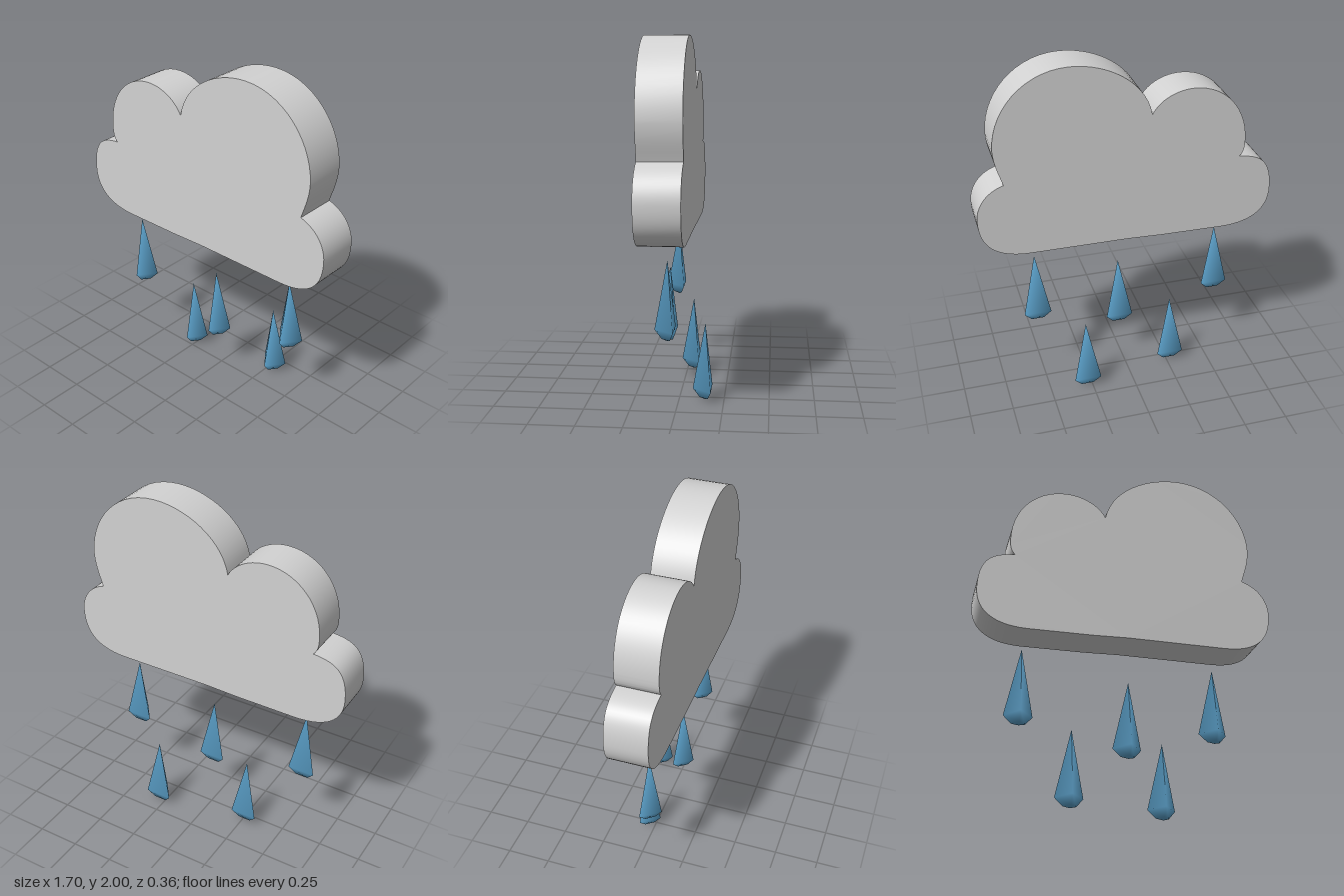
import * as THREE from 'three';
import { toCreasedNormals } from 'three/addons/utils/BufferGeometryUtils.js';

const cloudGrey = new THREE.MeshStandardMaterial({ name: 'cloudGrey', color: 0xd2d2d2 });
const rainBlue = new THREE.MeshStandardMaterial({ name: 'rainBlue', color: 0x5a9fc8 });

// Flat slab with a puffy outline, sharp only at the notches between puffs
function createCloud() {
  const s = new THREE.Shape();
  s.moveTo(-0.135, 1.68);
  // large puff
  s.bezierCurveTo(-0.1, 1.88, 0.12, 2, 0.315, 2);
  s.bezierCurveTo(0.56, 2, 0.735, 1.8, 0.738, 1.58);
  s.bezierCurveTo(0.735, 1.49, 0.71, 1.44, 0.69, 1.37);
  // right puff
  s.bezierCurveTo(0.79, 1.34, 0.845, 1.26, 0.845, 1.17);
  s.bezierCurveTo(0.845, 1.02, 0.77, 0.925, 0.56, 0.925);
  // underside
  s.lineTo(0, 0.925);
  s.lineTo(-0.2, 0.918);
  s.lineTo(-0.56, 0.915);
  // left puff
  s.bezierCurveTo(-0.76, 0.915, -0.85, 1, -0.85, 1.13);
  s.bezierCurveTo(-0.85, 1.32, -0.77, 1.35, -0.65, 1.36);
  // upper left puff
  s.bezierCurveTo(-0.675, 1.385, -0.68, 1.41, -0.68, 1.46);
  s.bezierCurveTo(-0.68, 1.66, -0.54, 1.805, -0.365, 1.805);
  s.bezierCurveTo(-0.26, 1.805, -0.17, 1.75, -0.135, 1.68);

  const geometry = new THREE.ExtrudeGeometry(s, { depth: 0.24, bevelEnabled: false, curveSegments: 14 });
  geometry.translate(0, 0, -0.062);
  const cloud = new THREE.Mesh(toCreasedNormals(geometry, 0.6), cloudGrey);
  cloud.name = 'cloud';
  return cloud;
}

// Three-sided teardrop with smooth normals, one edge facing forward
function createDropGeometry() {
  const profile = [[0, 0], [0.042, 0.012], [0.092, 0.062], [0, 0.437]]
    .map(([r, y]) => new THREE.Vector2(r, y));
  const geometry = new THREE.LatheGeometry(profile, 3);
  geometry.scale(1, 1, 0.76);
  return geometry;
}

export function createModel() {
  const model = new THREE.Group();
  model.name = 'rainCloud';
  model.add(createCloud());

  const dropGeometry = createDropGeometry();
  const positions = [
    [-0.575, 0.395, 0.08],
    [-0.265, 0.003, -0.038],
    [0.025, 0.262, 0.075],
    [0.28, 0, -0.145],
    [0.53, 0.402, 0.038],
  ];
  positions.forEach((p, i) => {
    const drop = new THREE.Mesh(dropGeometry, rainBlue);
    drop.name = `raindrop${i + 1}`;
    drop.position.set(...p);
    model.add(drop);
  });
  return model;
}
